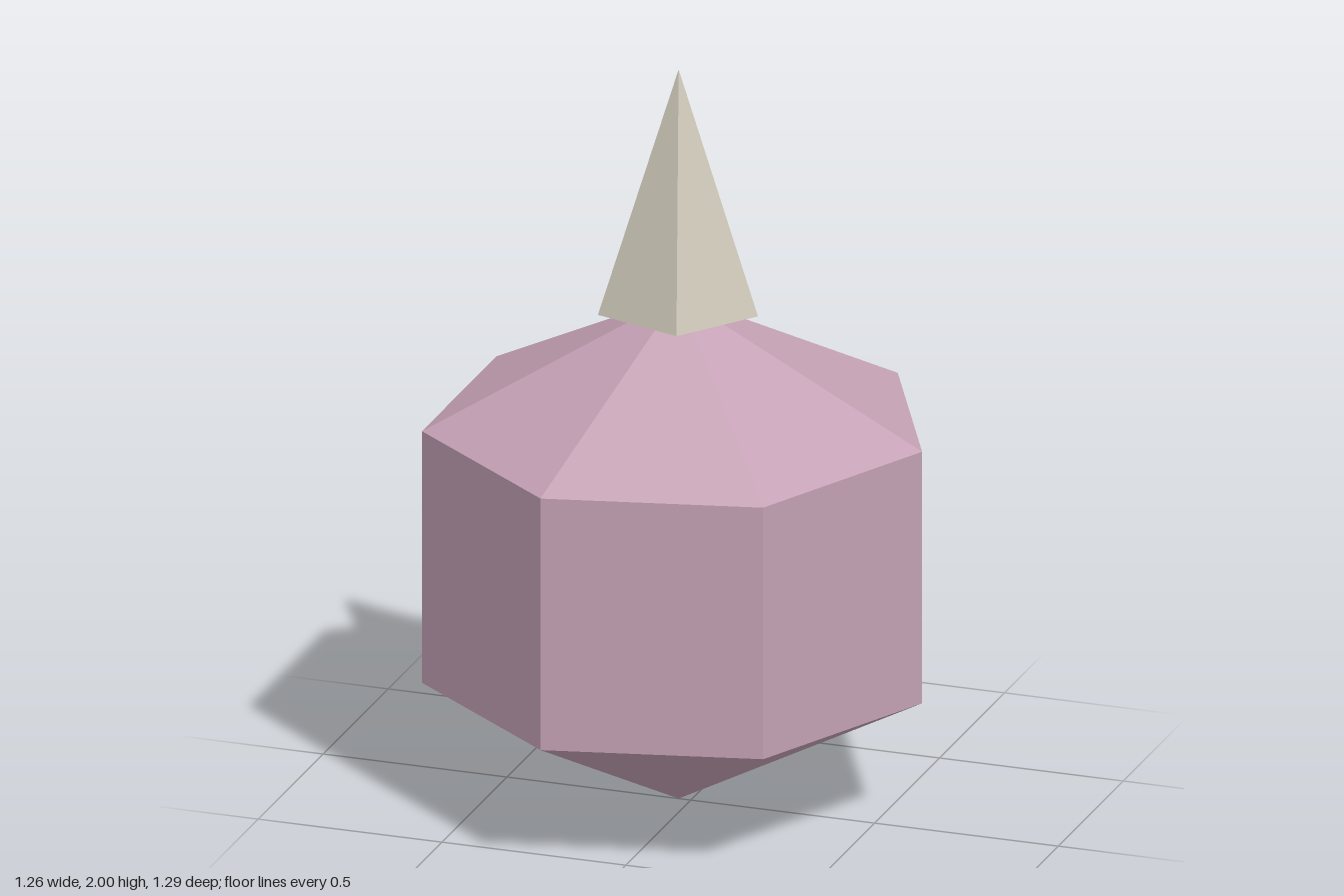
import * as THREE from 'three';

export function createModel() {
  const group = new THREE.Group();
  const centreX = -0.033;

  const makeMaterial = (name, color) => {
    const m = new THREE.MeshStandardMaterial({ color, flatShading: true });
    m.name = name;
    return m;
  };
  const pink = makeMaterial('dusty pink', 0xc4a1b4);
  const stone = makeMaterial('pale stone', 0xccc6b7);

  const addPart = (name, geometry, material, y) => {
    const mesh = new THREE.Mesh(geometry, material);
    mesh.name = name;
    mesh.position.set(centreX, y, 0);
    group.add(mesh);
  };

  // Seven-sided body: a coarse, slightly squashed sphere with a corner towards +x
  const body = new THREE.SphereGeometry(0.765, 7, 3);
  body.rotateY(Math.PI);
  body.scale(1, 0.902, 1);
  addPart('body', body, pink, 0.69);

  // Five-sided spike, closed underneath, with a corner towards +x
  const spike = new THREE.ConeGeometry(0.216, 0.65, 5, 1, false, Math.PI / 2);
  addPart('spike', spike, stone, 1.675);

  return group;
}
